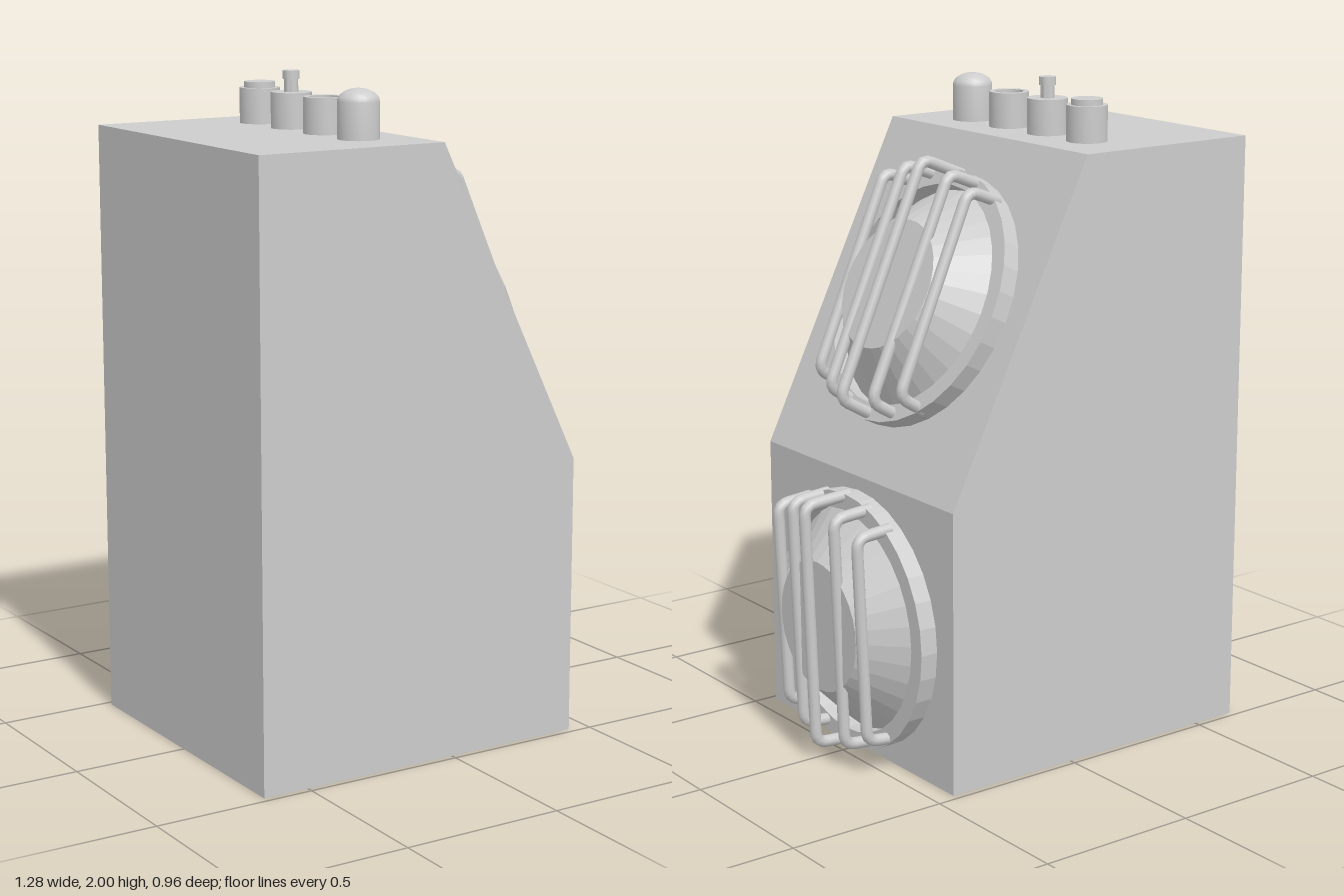
import * as THREE from 'three';
import { toCreasedNormals } from 'three/addons/utils/BufferGeometryUtils.js';

const grey = new THREE.MeshStandardMaterial({ color: 0xcccccc });
grey.name = 'plain grey';

function part(name, geometry) {
  const mesh = new THREE.Mesh(geometry, grey);
  mesh.name = name;
  return mesh;
}

// Lathe from [radius, height] pairs, listed from the bottom outer edge inwards
function turned(name, profile, sides = 32, crease = 0.1) {
  const points = profile.map(([r, h]) => new THREE.Vector2(r, h));
  return part(name, toCreasedNormals(new THREE.LatheGeometry(points, sides), crease));
}

// Bent rod with rounded corners, lying in the local x-y plane
function guardBar(z, depth, top, bottom) {
  const tilt = 0.006, round = 0.035;
  const corners = [
    [0.03, top + 0.01, z + tilt], [depth, top, z + tilt],
    [depth - 0.02, bottom, z - tilt], [0.03, bottom - 0.01, z - tilt],
  ].map((p) => new THREE.Vector3(...p));
  const path = new THREE.CurvePath();
  let last = corners[0];
  for (let i = 1; i < 3; i++) {
    const c = corners[i];
    const towards = (p) => c.clone().add(p.clone().sub(c).setLength(round));
    const a = towards(corners[i - 1]), b = towards(corners[i + 1]);
    path.add(new THREE.LineCurve3(last, a));
    path.add(new THREE.QuadraticBezierCurve3(a, c, b));
    last = b;
  }
  path.add(new THREE.LineCurve3(last, corners[3]));
  return part('guardBar', new THREE.TubeGeometry(path, 60, 0.018, 10));
}

// Lamp facing +x: rim, protruding lens and five guard bars
function lamp(name) {
  const group = new THREE.Group();
  group.name = name;
  const round = new THREE.Group();
  round.name = 'lampBody';
  round.rotation.z = -Math.PI / 2;
  round.add(
    turned('rim', [[0.396, 0], [0.396, 0.055], [0.345, 0.055], [0.345, 0]]),
    turned('lens', [[0.345, 0.002], [0.2, 0.15], [0, 0.15]]),
  );
  group.add(round);
  const bars = [
    [0.21, 0.145, 0.322, -0.302], [0.11, 0.158, 0.357, -0.342], [0, 0.187, 0.377, -0.365],
    [-0.11, 0.158, 0.357, -0.342], [-0.21, 0.145, 0.322, -0.302],
  ];
  for (const b of bars) group.add(guardBar(...b));
  return group;
}

export function createModel() {
  const model = new THREE.Group();
  model.name = 'lampCabinet';

  // Cabinet with a sloping upper panel
  const profile = [[-0.645, 0], [0.435, 0], [0.435, 0.855], [-0.04, 1.83], [-0.645, 1.83]];
  const shape = new THREE.Shape(profile.map((p) => new THREE.Vector2(...p)));
  const body = new THREE.ExtrudeGeometry(shape, { depth: 0.96, bevelEnabled: false });
  body.translate(0, 0, -0.48);
  model.add(part('cabinet', body));

  // One lamp on the upright panel, one on the slope
  const lower = lamp('lowerLamp');
  lower.position.set(0.435, 0.417, -0.005);
  const upper = lamp('upperLamp');
  upper.position.set(0.19, 1.358, -0.005);
  upper.rotation.z = Math.atan2(0.475, 0.975);
  model.add(lower, upper);

  // Row of four different fittings on the top
  const dome = [[0.061, 0], [0.061, 0.107]];
  for (let i = 1; i <= 8; i++) {
    const a = (i / 8) * Math.PI / 2;
    dome.push([i === 8 ? 0 : 0.061 * Math.cos(a), 0.107 + 0.038 * Math.sin(a)]);
  }
  const fittings = [
    ['domedFitting', 0.278, dome, 0.6],
    ['hollowFitting', 0.092, [[0.061, 0], [0.061, 0.107], [0.043, 0.107], [0.043, 0.06], [0, 0.06]], 0.6],
    ['stemFitting', -0.094, [[0.061, 0], [0.061, 0.107], [0.021, 0.107], [0.021, 0.145],
      [0.025, 0.145], [0.025, 0.17], [0, 0.17]], 0.6],
    ['cappedFitting', -0.28, [[0.061, 0], [0.061, 0.107], [0.047, 0.107], [0.047, 0.125], [0, 0.125]], 0.6],
  ];
  for (const [name, z, points, crease] of fittings) {
    const mesh = turned(name, points, 24, crease);
    mesh.position.set(-0.2, 1.83, z);
    model.add(mesh);
  }
  return model;
}
